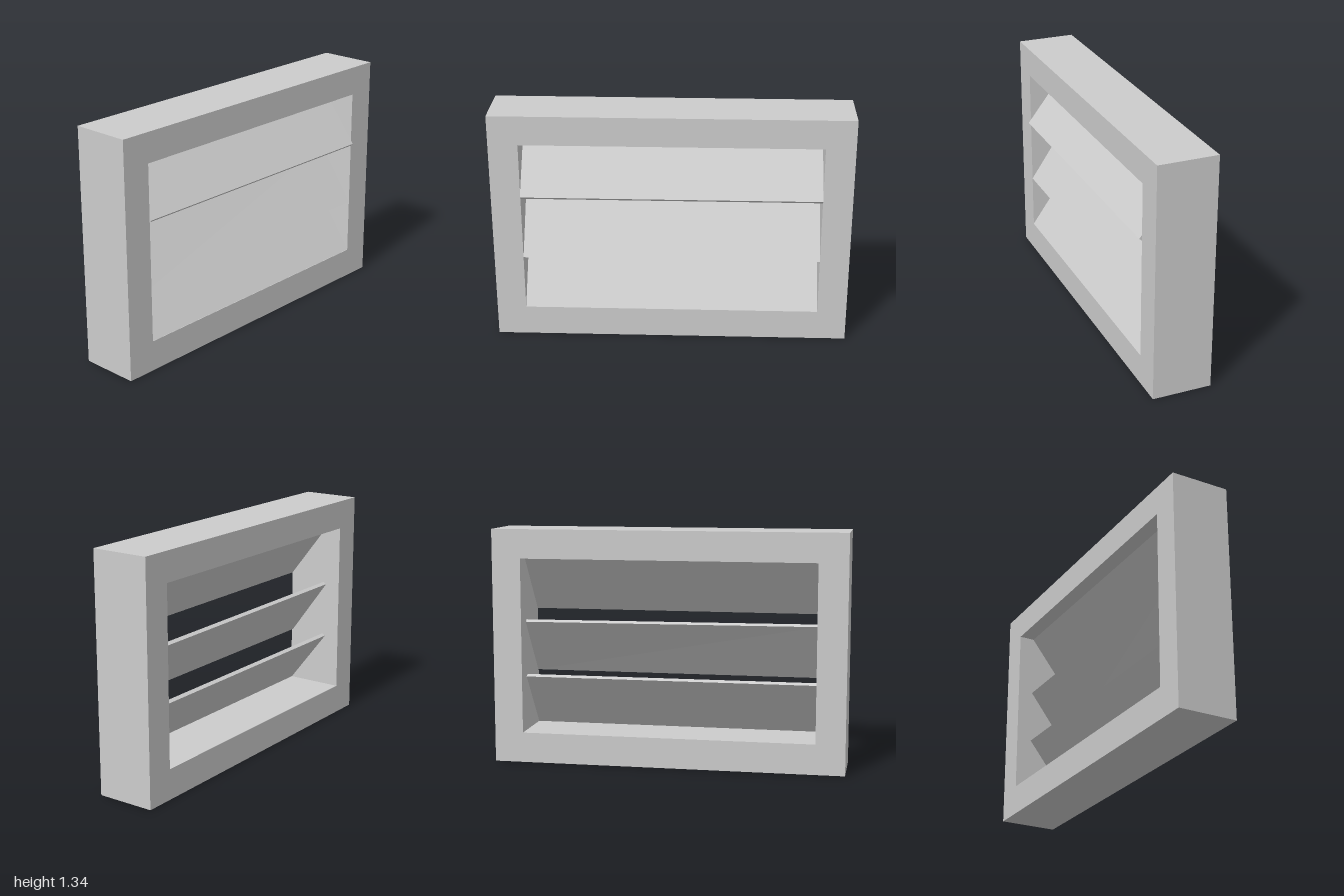
import * as THREE from 'three';

const HALF_OPENING = 0.835;

// Slat: a (z, y) profile extruded across the opening; twist tilts its back edge slightly
function makeSlat(name, profile, twist, material) {
  const shape = new THREE.Shape(profile.map(([z, y]) => new THREE.Vector2(z, y)));
  const geometry = new THREE.ExtrudeGeometry(shape, { depth: HALF_OPENING * 2, bevelEnabled: false });
  geometry.translate(0, 0, -HALF_OPENING).rotateY(-Math.PI / 2);
  const p = geometry.attributes.position;
  for (let i = 0; i < p.count; i++) {
    if (p.getZ(i) < 0) p.setY(i, p.getY(i) - twist * p.getX(i));
  }
  geometry.computeVertexNormals();
  const mesh = new THREE.Mesh(geometry, material);
  mesh.name = name;
  return mesh;
}

export function createModel() {
  const group = new THREE.Group();
  group.name = 'louvredVent';
  const grey = new THREE.MeshStandardMaterial({ color: 0xcccccc });
  grey.name = 'light grey';

  // Rectangular frame with an open middle
  const outline = new THREE.Shape([
    new THREE.Vector2(-1, 0), new THREE.Vector2(1, 0),
    new THREE.Vector2(1, 1.335), new THREE.Vector2(-1, 1.335),
  ]);
  outline.holes.push(new THREE.Path([
    new THREE.Vector2(-HALF_OPENING, 0.172), new THREE.Vector2(-HALF_OPENING, 1.17),
    new THREE.Vector2(HALF_OPENING, 1.17), new THREE.Vector2(HALF_OPENING, 0.172),
  ]));
  const frameGeometry = new THREE.ExtrudeGeometry(outline, { depth: 0.335, bevelEnabled: false });
  frameGeometry.translate(0, 0, -0.175);
  const frame = new THREE.Mesh(frameGeometry, grey);
  frame.name = 'frame';
  group.add(frame);

  // Slats lean back from the front of the opening; the top one overhangs the frame
  group.add(makeSlat('topSlat',
    [[0.16, 0.852], [0.175, 0.866], [-0.061, 1.17], [-0.085, 1.17]], 0, grey));
  group.add(makeSlat('middleSlat',
    [[0.16, 0.49], [-0.066, 0.818], [-0.085, 0.806], [0.152, 0.486]], 0.006, grey));
  group.add(makeSlat('bottomSlat',
    [[0.16, 0.174], [-0.066, 0.495], [-0.085, 0.483], [0.155, 0.172]], 0, grey));

  return group;
}
